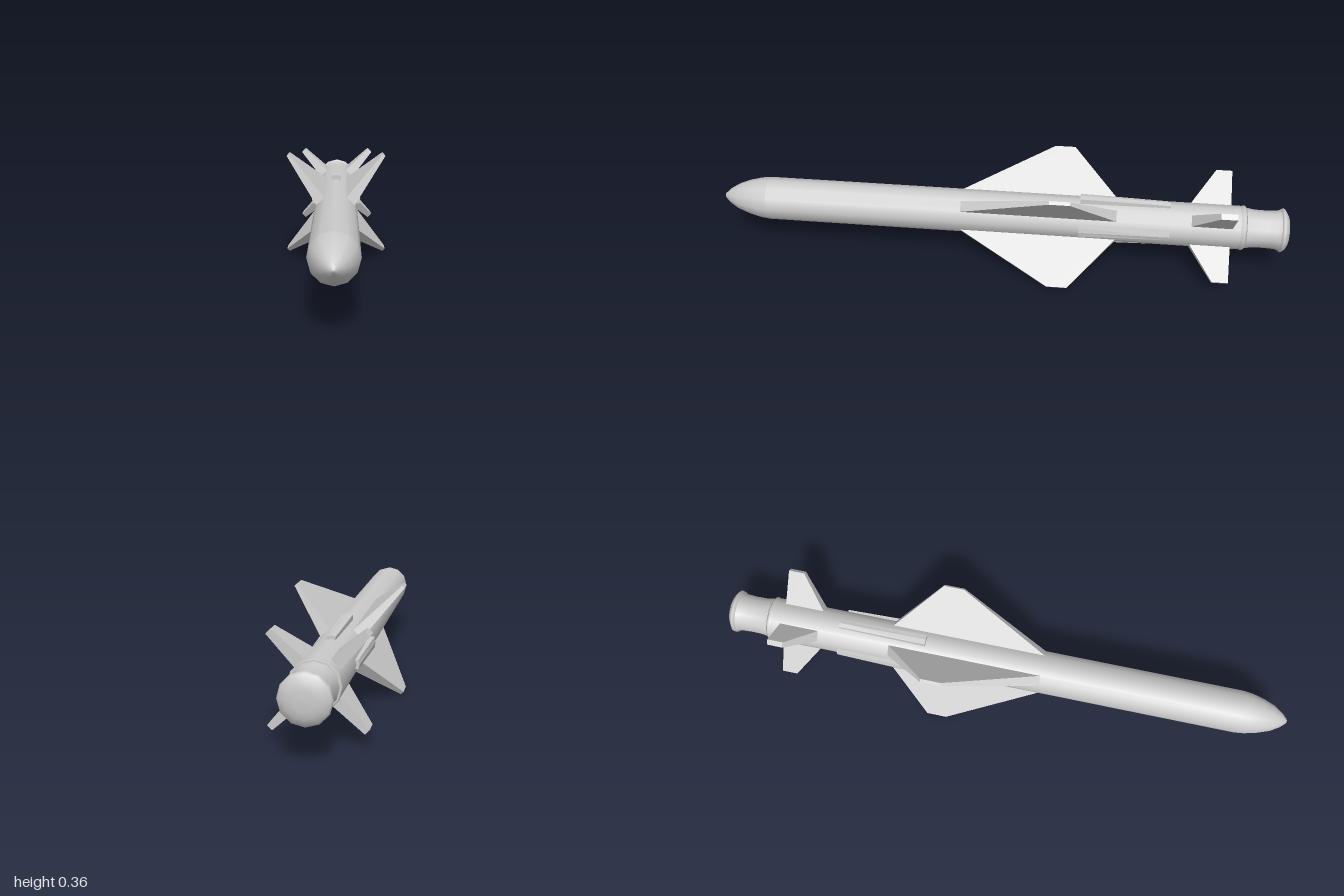
import * as THREE from 'three';

const AXIS_Y = 0.188;
const material = new THREE.MeshStandardMaterial({ color: 0xcccccc });
const flatMaterial = new THREE.MeshStandardMaterial({ color: 0xcccccc, flatShading: true });

// Joins two matching loops (counter-clockwise seen from the end of the loft) and caps both ends.
function loft(start, end) {
  const n = start.length;
  const out = [];
  const tri = (a, b, c) => out.push(...a, ...b, ...c);
  for (let i = 0; i < n; i++) {
    const j = (i + 1) % n;
    tri(start[i], start[j], end[j]);
    tri(start[i], end[j], end[i]);
  }
  for (let i = 1; i < n - 1; i++) {
    tri(end[0], end[i], end[i + 1]);
    tri(start[0], start[i + 1], start[i]);
  }
  const geometry = new THREE.BufferGeometry();
  geometry.setAttribute('position', new THREE.Float32BufferAttribute(out, 3));
  geometry.computeVertexNormals();
  return geometry;
}

// Tapered fin pointing along +y; each section is radius, half thickness, front z, back z.
function finGeometry(root, tip) {
  const section = ([r, h, front, back]) =>
    [[h, r, front], [h, r, back], [-h, r, back], [-h, r, front]];
  return loft(section(root), section(tip));
}

// Ridge along z with a slightly peaked top.
function strakeGeometry() {
  const section = (w, shoulder, peak, z) =>
    [[-w, 0.06, z], [w, 0.06, z], [w, shoulder, z], [0, peak, z], [-w, shoulder, z]];
  return loft(section(0.014, 0.082, 0.086, -0.59), section(0.018, 0.089, 0.092, -0.28));
}

function revolve(name, points) {
  const profile = points.map(([r, z]) => new THREE.Vector2(r, z));
  const geometry = new THREE.LatheGeometry(profile, 12).rotateX(Math.PI / 2);
  const mesh = new THREE.Mesh(geometry, material);
  mesh.name = name;
  return mesh;
}

// Four copies of a part around the long axis.
function addRadial(parent, name, geometry, offset) {
  for (let i = 0; i < 4; i++) {
    const mesh = new THREE.Mesh(geometry, flatMaterial);
    mesh.name = `${name}${i + 1}`;
    mesh.rotation.z = offset + i * Math.PI / 2;
    parent.add(mesh);
  }
}

export function createModel() {
  const model = new THREE.Group();
  model.name = 'missile';
  const airframe = new THREE.Group();
  airframe.name = 'airframe';
  airframe.position.y = AXIS_Y;
  model.add(airframe);

  // Main tube and rounded pointed nose
  airframe.add(revolve('bodyTube', [[0, -0.83], [0.076, -0.83], [0.076, -0.83], [0.076, 0.83]]));
  airframe.add(revolve('noseCone', [
    [0.076, 0.83], [0.072, 0.865], [0.062, 0.905], [0.047, 0.945], [0.027, 0.977], [0.008, 0.997], [0, 1],
  ]));

  // Tail: joint ring, waisted neck, flange and domed end
  airframe.add(revolve('jointRing', [
    [0, -0.85], [0.074, -0.85], [0.078, -0.845], [0.078, -0.838], [0.074, -0.83],
  ]));
  airframe.add(revolve('tailNeck', [
    [0.073, -0.972], [0.067, -0.955], [0.065, -0.92], [0.066, -0.88], [0.071, -0.848],
  ]));
  airframe.add(revolve('tailCap', [
    [0, -1], [0.03, -0.999], [0.053, -0.995], [0.072, -0.984], [0.077, -0.976], [0.073, -0.968], [0.06, -0.965],
  ]));

  // Cross-shaped wings and tail fins
  const wing = finGeometry([0.07, 0.0195, 0.14, -0.41], [0.251, 0.006, -0.18, -0.25]);
  const tailFin = finGeometry([0.07, 0.0195, -0.66, -0.8], [0.197, 0.01, -0.745, -0.8]);
  addRadial(airframe, 'wing', wing, Math.PI / 4);
  addRadial(airframe, 'tailFin', tailFin, Math.PI / 4);

  // Ridges on the top, bottom and sides
  addRadial(airframe, 'strake', strakeGeometry(), 0);

  return model;
}
